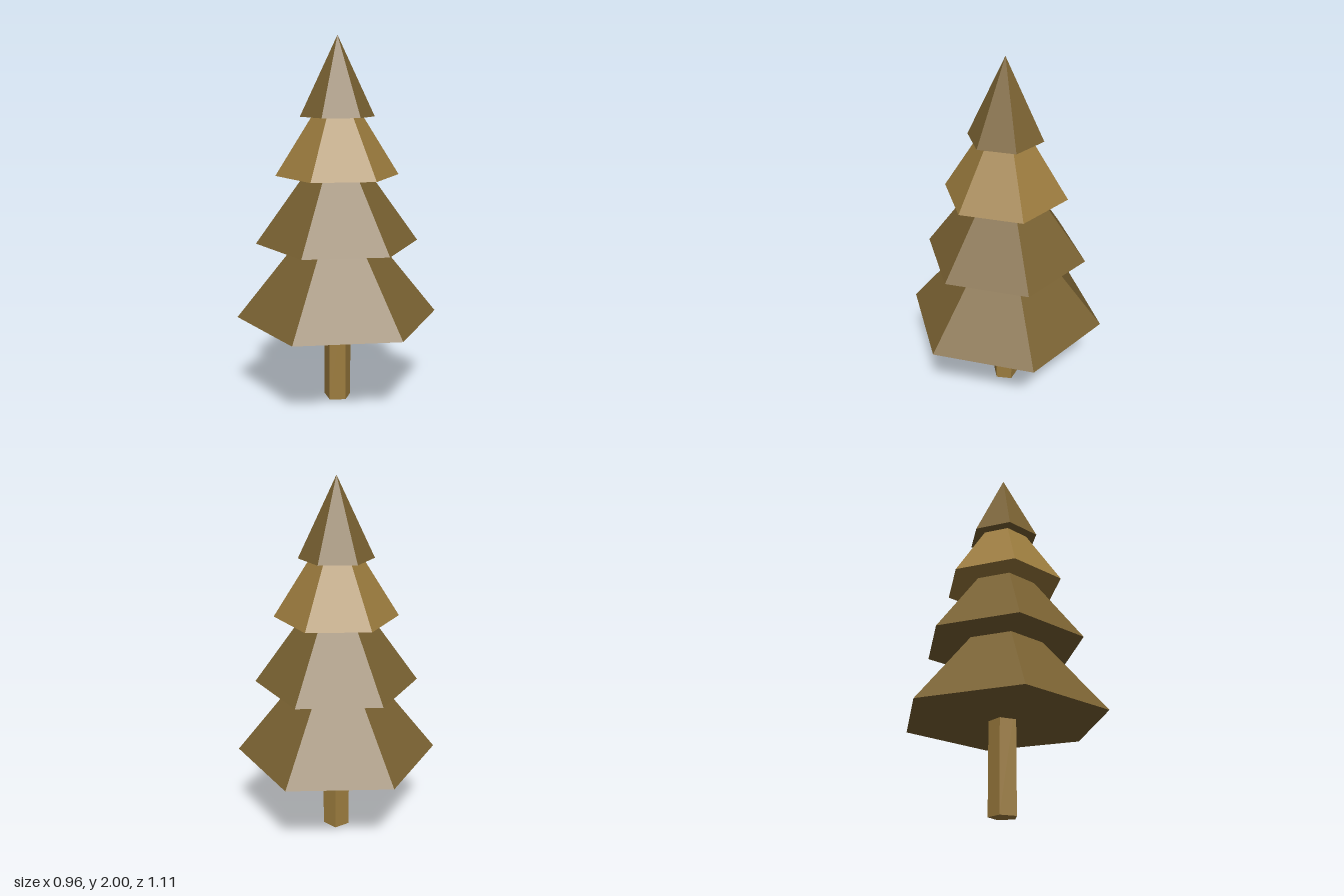
import * as THREE from 'three';

export function createModel() {
  const tree = new THREE.Group();
  tree.name = 'pineTree';

  const material = (color) => new THREE.MeshStandardMaterial({ color, flatShading: true });
  const light = material(0x9c7c3e);
  const dark = material(0x7a6232);

  const add = (name, geometry, mat, y) => {
    const mesh = new THREE.Mesh(geometry, mat);
    mesh.name = name;
    mesh.position.y = y;
    tree.add(mesh);
  };

  // Five-sided trunk, running up inside the lowest tier
  add('trunk', new THREE.CylinderGeometry(0.077, 0.077, 0.6, 5), light, 0.3);

  // Hexagonal foliage cones, each poking into the one above
  const tiers = [
    { name: 'bottomTier', radius: 0.555, base: 0.487, tip: 1.18, mat: dark },
    { name: 'lowerMiddleTier', radius: 0.445, base: 0.9, tip: 1.52, mat: dark },
    { name: 'upperMiddleTier', radius: 0.334, base: 1.268, tip: 1.8, mat: light },
    { name: 'topTier', radius: 0.2, base: 1.58, tip: 2, mat: dark },
  ];
  for (const { name, radius, base, tip, mat } of tiers) {
    add(name, new THREE.ConeGeometry(radius, tip - base, 6), mat, (base + tip) / 2);
  }

  return tree;
}
